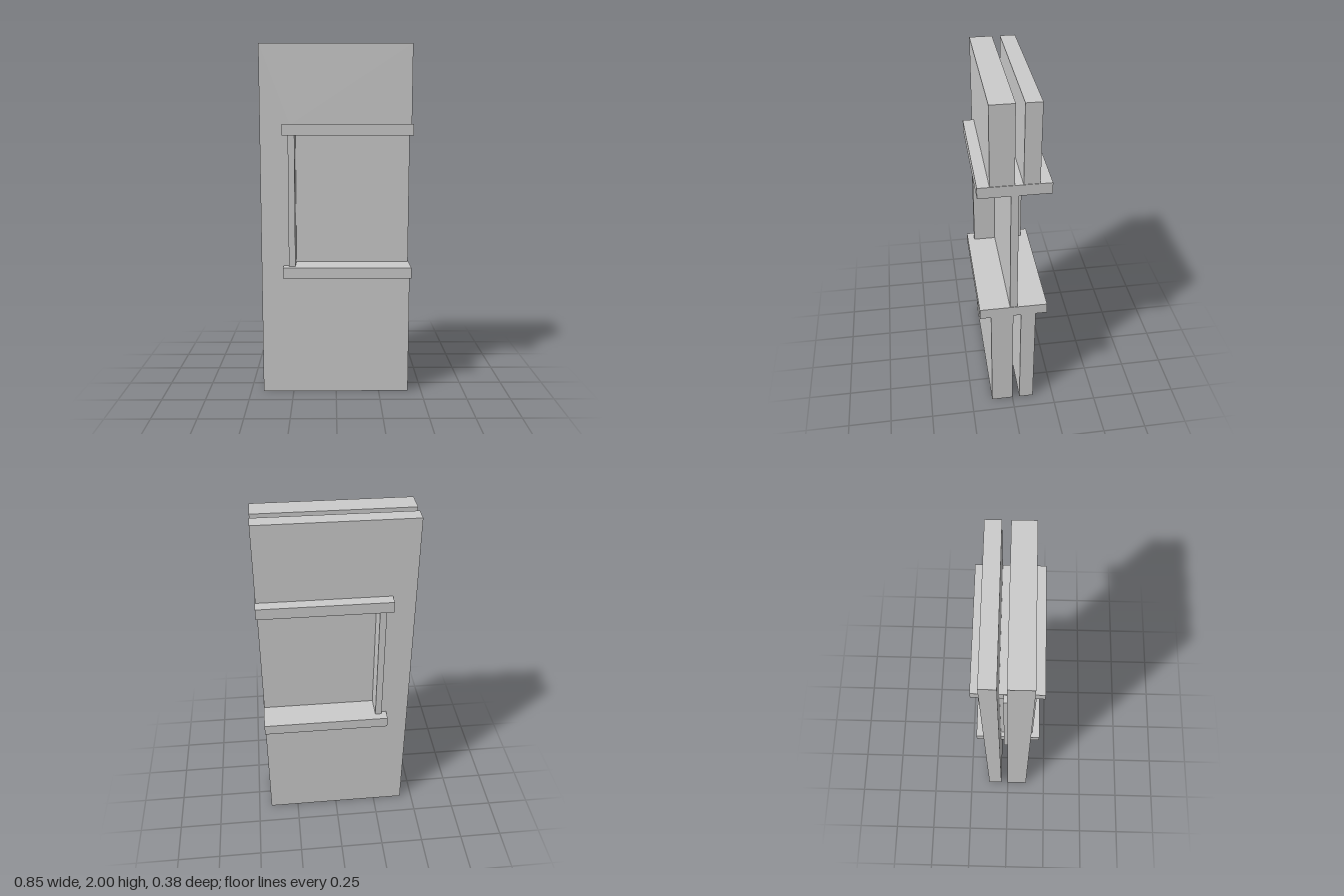
import * as THREE from 'three';

const material = new THREE.MeshStandardMaterial({ color: 0xcccccc, flatShading: true });

// Box given by its minimum and maximum corners
function block(name, [x0, y0, z0], [x1, y1, z1]) {
  const geometry = new THREE.BoxGeometry(x1 - x0, y1 - y0, z1 - z0);
  geometry.translate((x0 + x1) / 2, (y0 + y1) / 2, (z0 + z1) / 2);
  const mesh = new THREE.Mesh(geometry, material);
  mesh.name = name;
  return mesh;
}

// Wall leaf with a window notch open at its +x end
function wallLeaf(name, z0, z1) {
  const outline = [
    [-0.427, 0], [0.422, 0], [0.422, 0.70], [-0.26, 0.70],
    [-0.26, 1.555], [0.422, 1.555], [0.422, 2], [-0.427, 2],
  ].map(([x, y]) => new THREE.Vector2(x, y));
  const geometry = new THREE.ExtrudeGeometry(new THREE.Shape(outline), {
    depth: z1 - z0, bevelEnabled: false,
  });
  geometry.translate(0, 0, z0);
  const mesh = new THREE.Mesh(geometry, material);
  mesh.name = name;
  return mesh;
}

export function createModel() {
  const model = new THREE.Group();
  model.name = 'wallWindowSection';

  // Two leaves separated by a cavity
  model.add(wallLeaf('frontLeaf', 0, 0.126));
  model.add(wallLeaf('backLeaf', -0.128, -0.044));

  // Sill and head boards running through the whole wall
  model.add(block('sill', [-0.3, 0.695, -0.191], [0.425, 0.758, 0.189]));
  model.add(block('head', [-0.3, 1.5, -0.191], [0.425, 1.562, 0.189]));

  // Window pane set into the cavity
  model.add(block('pane', [-0.34, 0.71, -0.022], [0.422, 1.55, 0.019]));

  // Jamb linings on both sides of the pane
  model.add(block('frontJamb', [-0.27, 0.758, 0.019], [-0.233, 1.5, 0.148]));
  model.add(block('backJamb', [-0.27, 0.758, -0.147], [-0.233, 1.5, -0.022]));

  return model;
}
